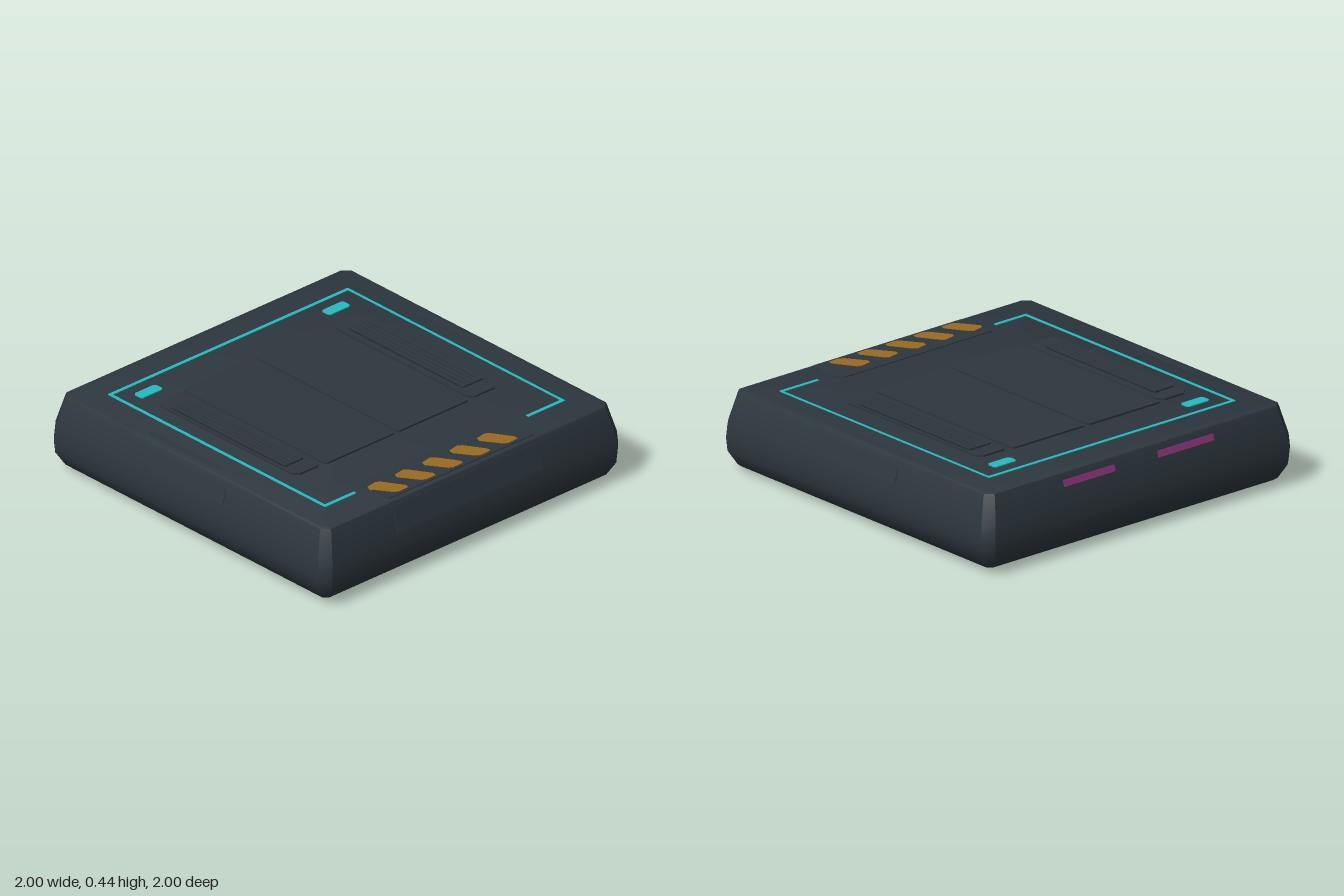
import * as THREE from 'three';
import { toCreasedNormals } from 'three/addons/utils/BufferGeometryUtils.js';

const material = (name, color) => {
  const m = new THREE.MeshStandardMaterial({ color });
  m.name = name;
  return m;
};

export function createModel() {
  const group = new THREE.Group();
  const shell = material('slate shell', 0x2d373e);
  const recess = material('dark recess', 0x1d252b);
  const cyan = material('cyan light', 0x22bcc0);
  const amber = material('amber paint', 0x9a6b20);
  const magenta = material('magenta light', 0x92367e);

  const add = (name, geometry, mat) => {
    const mesh = new THREE.Mesh(geometry, mat);
    mesh.name = name;
    group.add(mesh);
    return mesh;
  };

  // Horizontal slab from an outline of [x, z] points
  const slab = (name, points, y0, y1, mat) => {
    const shape = new THREE.Shape(points.map(([x, z]) => new THREE.Vector2(x, -z)));
    const geometry = new THREE.ExtrudeGeometry(shape, { depth: y1 - y0, bevelEnabled: false });
    geometry.rotateX(-Math.PI / 2);
    geometry.translate(0, y0, 0);
    return add(name, geometry, mat);
  };

  // Rectangle with cut corners
  const cutRect = (x0, x1, z0, z1, c) => [
    [x0 + c, z0], [x1 - c, z0], [x1, z0 + c], [x1, z1 - c],
    [x1 - c, z1], [x0 + c, z1], [x0, z1 - c], [x0, z0 + c],
  ];
  const plate = (name, x0, x1, z0, z1, c, y0, y1, mat) =>
    slab(name, cutRect(x0, x1, z0, z1, c), y0, y1, mat);

  // Body: loft of cut-corner squares [y, half width, corner cut]
  const levels = [
    [0.02, 0.93, 0.02], [0.035, 0.95, 0.03], [0.11, 0.995, 0.05], [0.18, 1, 0.05],
    [0.25, 0.995, 0.05], [0.395, 0.957, 0.04], [0.412, 0.95, 0.035], [0.42, 0.935, 0.03],
  ];
  const positions = [];
  const index = [];
  levels.forEach(([y, h, c]) =>
    cutRect(-h, h, -h, h, c).forEach(([x, z]) => positions.push(x, y, z)));
  for (let l = 0; l < levels.length - 1; l++) {
    for (let i = 0; i < 8; i++) {
      const a = l * 8 + i, b = l * 8 + (i + 1) % 8;
      index.push(a, a + 8, b, b, a + 8, b + 8);
    }
  }
  const top = (levels.length - 1) * 8;
  for (let i = 1; i < 7; i++) {
    index.push(0, i, i + 1);
    index.push(top, top + i + 1, top + i);
  }
  const body = new THREE.BufferGeometry();
  body.setAttribute('position', new THREE.Float32BufferAttribute(positions, 3));
  body.setIndex(index);
  add('body', toCreasedNormals(body, 0.6), shell);

  // Two raised centre panels
  plate('backPanel', -0.565, 0.465, -0.46, 0.015, 0.012, 0.42, 0.43, shell);
  plate('frontPanel', -0.565, 0.465, 0.03, 0.5, 0.012, 0.42, 0.43, shell);

  // Slatted grille: dark bed with raised bars running along x
  const grille = (name, x0, x1, z0, z1, bedY, bedT, barT, count) => {
    plate(name + 'Bed', x0, x1, z0, z1, 0.01, Math.min(bedY, bedY + bedT), Math.max(bedY, bedY + bedT), recess);
    const pitch = (z1 - z0) / count;
    for (let i = 0; i < count; i++) {
      const z = z0 + (i + 0.5) * pitch;
      const bar = add(name + 'Bar', new THREE.BoxGeometry(x1 - x0, Math.abs(barT), pitch * 0.74), shell);
      bar.position.set((x0 + x1) / 2, bedY + barT / 2, z);
    }
  };

  // Top vents
  plate('backVentFrame', -0.55, 0.455, -0.665, -0.475, 0.03, 0.42, 0.43, shell);
  grille('backVent', -0.46, 0.36, -0.65, -0.51, 0.43, 0.002, 0.009, 5);
  plate('frontVentFrame', -0.55, 0.455, 0.51, 0.69, 0.03, 0.42, 0.43, shell);
  grille('frontVent', -0.46, 0.36, 0.55, 0.675, 0.43, 0.002, 0.009, 5);

  // Cyan border lines and marker lights
  [
    [-0.785, 0.78, -0.805, -0.79], [-0.785, 0.78, 0.777, 0.795],
    [-0.785, -0.765, -0.805, 0.795], [0.76, 0.78, -0.805, -0.56], [0.76, 0.78, 0.585, 0.795],
  ].forEach(([x0, x1, z0, z1], i) =>
    plate('borderLight', x0, x1, z0, z1, 0.003, 0.419, 0.4225 + i * 0.0002, cyan));
  [-0.62, 0.63].forEach((z) =>
    plate('markerLight', -0.7, -0.638, z - 0.072, z + 0.072, 0.012, 0.419, 0.425, cyan));

  // Left side panel with slanted amber stripes
  slab('stripePanel', [
    [0.71, -0.44], [0.77, -0.485], [0.85, -0.485], [0.93, -0.455], [0.93, 0.51], [0.71, 0.51],
  ], 0.419, 0.424, shell);
  for (let i = 0; i < 5; i++) {
    const z = -0.29 + i * 0.182;
    slab('amberStripe', [
      [0.765, z + 0.01], [0.78, z - 0.012], [0.89, z - 0.08], [0.912, z - 0.075],
      [0.914, z - 0.015], [0.9, z + 0.01], [0.8, z + 0.078], [0.775, z + 0.07],
    ], 0.42, 0.427, amber);
  }

  // Thin plates lying on the sloped sides
  const slope = 0.257;
  const flap = add('stripePanelFlap', new THREE.BoxGeometry(0.006, 0.14, 0.965), shell);
  flap.position.set(0.977, 0.325, 0.027);
  flap.rotation.z = slope;
  [[-0.315, 0.33], [0.31, 0.36]].forEach(([z, length]) => {
    const light = add('sideLight', new THREE.BoxGeometry(0.008, 0.034, length), magenta);
    light.position.set(-0.9655, 0.362, z);
    light.rotation.z = -slope;
  });
  [-1, 1].forEach((s) => {
    const ledge = add('sideLedge', new THREE.BoxGeometry(0.54, 0.09, 0.006), shell);
    ledge.position.set(-0.02, 0.33, s * 0.974);
    ledge.rotation.x = -s * slope;
    plate('edgeTab', -0.37, 0.15, s * 0.9 - 0.018, s * 0.9 + 0.018, 0.015, 0.419, 0.422, shell);
  });

  // Underside plates and vents
  plate('backFootPlate', -0.53, 0.51, -0.81, -0.51, 0.04, 0.004, 0.021, shell);
  plate('frontFootPlate', -0.53, 0.51, 0.45, 0.68, 0.04, 0.004, 0.021, shell);
  plate('middleFootPlate', -0.5, 0.49, -0.185, -0.01, 0.03, 0.006, 0.021, shell);
  [[-0.47, -0.27], [0.2, 0.39]].forEach(([z0, z1]) => {
    plate('underVentFrame', -0.51, 0.5, z0, z1, 0.03, 0.01, 0.021, shell);
    grille('underVent', -0.44, 0.45, z0 + 0.025, z1 - 0.025, 0.01, -0.002, -0.01, 5);
  });

  return group;
}
